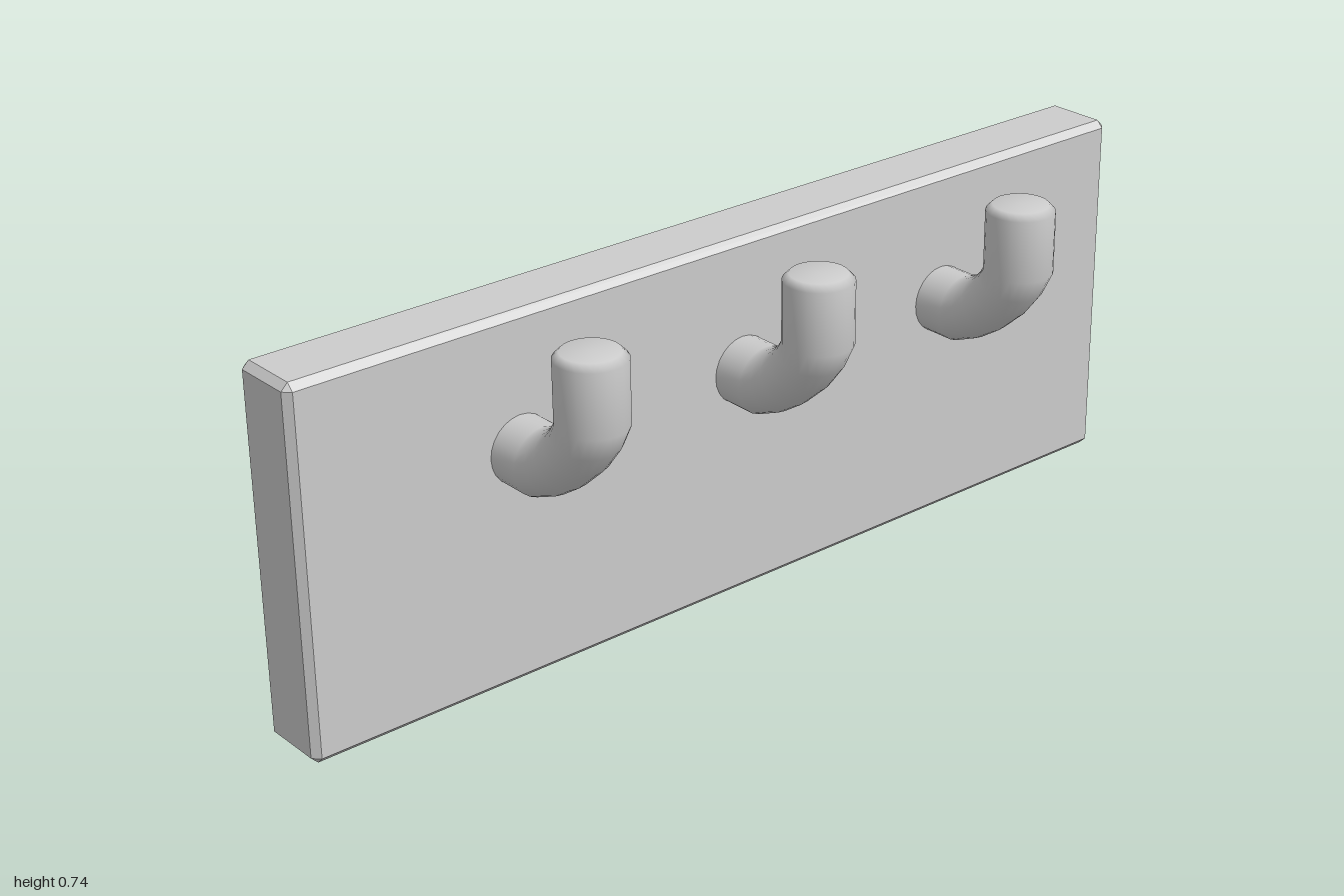
import * as THREE from 'three';
import { ConvexGeometry } from 'three/addons/geometries/ConvexGeometry.js';

const grey = new THREE.MeshStandardMaterial({ color: 0xcccccc });
grey.name = 'light grey';

// Box with every edge chamfered by c
function chamferedBox(w, h, d, c) {
  const half = [w / 2, h / 2, d / 2];
  const points = [];
  for (const sx of [-1, 1]) for (const sy of [-1, 1]) for (const sz of [-1, 1]) {
    for (let full = 0; full < 3; full++) {
      const [x, y, z] = half.map((v, axis) => (axis === full ? v : v - c));
      points.push(new THREE.Vector3(sx * x, sy * y, sz * z));
    }
  }
  return new ConvexGeometry(points);
}

// Peg: each section gives outer z, y, inner z, y and the half width in x
function pegGeometry() {
  const R = 0.068, sides = 24;
  const sections = [
    [-0.08, 0.408, -0.08, 0.545, R],
    [0, 0.408, 0, 0.545, R],
    [0.055, 0.431, 0.018, 0.551, R],
    [0.1, 0.46, 0.036, 0.56, R],
    [0.152, 0.506, 0.053, 0.572, R],
    [0.189, 0.553, 0.067, 0.587, R],
    [0.215, 0.603, 0.078, 0.604, R],
    [0.215, 0.729, 0.078, 0.729, R],
    [0.202, 0.742, 0.091, 0.742, 0.0555],
    [0.1465, 0.742, 0.1465, 0.742, 0], // closes the tip
  ];
  const position = [], index = [];
  sections.forEach(([zo, yo, zi, yi, rx], i) => {
    for (let j = 0; j < sides; j++) {
      const a = (j / sides) * Math.PI * 2;
      const t = (1 - Math.cos(a)) / 2;
      position.push(rx * Math.sin(a), yo + (yi - yo) * t, zo + (zi - zo) * t);
      if (i === 0) continue;
      const k = (j + 1) % sides;
      const p = (i - 1) * sides, q = i * sides;
      index.push(p + j, p + k, q + j);
      if (i < sections.length - 1) index.push(p + k, q + k, q + j);
    }
  });
  const geometry = new THREE.BufferGeometry();
  geometry.setAttribute('position', new THREE.Float32BufferAttribute(position, 3));
  geometry.setIndex(index);
  geometry.computeVertexNormals();
  return geometry;
}

export function createModel() {
  const model = new THREE.Group();
  model.name = 'pegRack';

  // Backing board
  const board = new THREE.Mesh(chamferedBox(2, 0.744, 0.149, 0.014), grey);
  board.name = 'board';
  board.position.set(0, 0.372, -0.1405);
  model.add(board);

  // Row of three upturned pegs
  const geometry = pegGeometry();
  ['rightPeg', 'middlePeg', 'leftPeg'].forEach((name, i) => {
    const peg = new THREE.Mesh(geometry, grey);
    peg.name = name;
    peg.position.x = (i - 1) * 0.525;
    model.add(peg);
  });
  return model;
}
